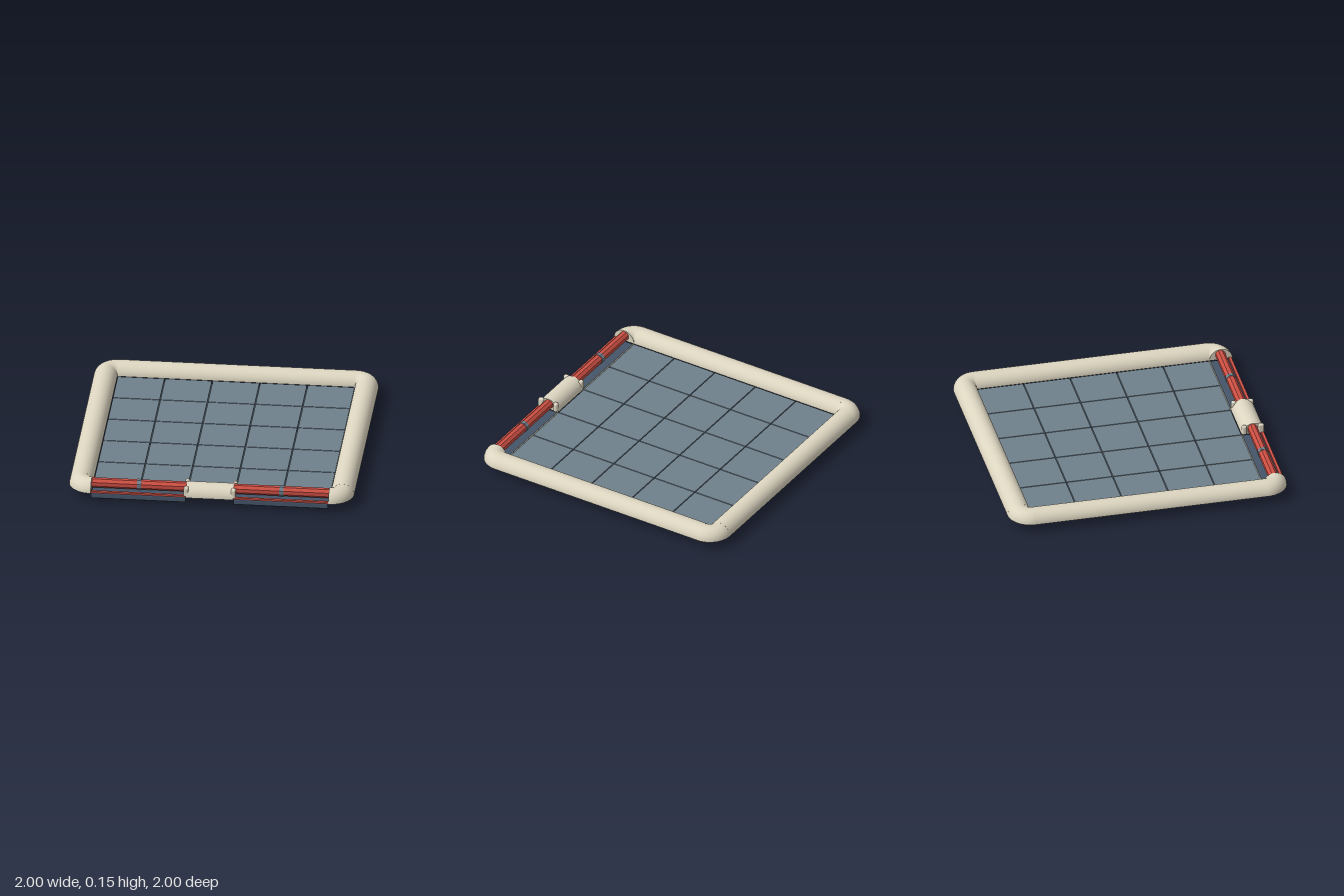
import * as THREE from 'three';
import { RoundedBoxGeometry } from 'three/addons/geometries/RoundedBoxGeometry.js';

const INNER = 0.835;          // half size of the floor
const R = 0.0825;             // radius of the half-round rim
const BASE = 0.067;           // underside of the rim
const MID = INNER + R;        // centre line of the rim

export function createModel() {
  const model = new THREE.Group();
  model.name = 'board';

  const mat = (name, color, extra = {}) => {
    const m = new THREE.MeshStandardMaterial({ color, ...extra });
    m.name = name;
    return m;
  };
  const cream = mat('cream', 0xdcd5c0, { side: THREE.DoubleSide });
  const slate = mat('slate', 0x6f818d);
  const navy = mat('navy', 0x46556a);
  const red = mat('red', 0xcd4f43);
  const redFlat = red;

  const add = (name, geo, material, x = 0, y = 0, z = 0, parent = model) => {
    const mesh = new THREE.Mesh(geo, material);
    mesh.name = name;
    mesh.position.set(x, y, z);
    parent.add(mesh);
    return mesh;
  };
  const box = (name, material, x, y, z, w, h, d, r = 0) =>
    add(name, r ? new RoundedBoxGeometry(w, h, d, 2, r) : new THREE.BoxGeometry(w, h, d), material, x, y, z);

  // Floor: five by five separate tiles
  const pitch = (INNER * 2) / 5;
  const tileGeo = new THREE.BoxGeometry(pitch - 0.007, BASE, pitch - 0.007);
  for (let i = -2; i <= 2; i++)
    for (let j = -2; j <= 2; j++)
      add('floorTile', tileGeo, slate, i * pitch, BASE / 2, j * pitch);

  // Straight half-round rim pieces with a flat underside
  const rail = (name, length, x, z, turn) => {
    const g = new THREE.Group();
    g.name = name;
    const top = new THREE.CylinderGeometry(R, R, length, 28, 1, false, 0, Math.PI);
    add(name + 'Top', top.rotateZ(Math.PI / 2), cream, 0, 0, 0, g);
    add(name + 'Underside', new THREE.PlaneGeometry(length, R * 2).rotateX(Math.PI / 2), cream, 0, 0, 0, g);
    g.position.set(x, BASE, z);
    g.rotation.y = turn;
    model.add(g);
  };
  rail('backRim', INNER * 2, 0, -MID, 0);
  rail('leftRim', INNER * 2, MID, 0, Math.PI / 2);
  rail('rightRim', INNER * 2, -MID, 0, Math.PI / 2);
  rail('frontRim', 0.333, 0, MID, 0);

  // Rim corners: the half-round turned a quarter about the inner corner
  const profile = [];
  for (let i = 0; i <= 14; i++) {
    const a = (i / 14) * Math.PI;
    profile.push(new THREE.Vector2(Math.max(0, R + R * Math.cos(a)), R * Math.sin(a)));
  }
  const under = [new THREE.Vector2(0, 0), new THREE.Vector2(R * 2, 0)];
  [[1, 1], [1, -1], [-1, -1], [-1, 1]].forEach(([sx, sz], i) => {
    const start = (i * Math.PI) / 2;
    add('rimCorner', new THREE.LatheGeometry(profile, 12, start, Math.PI / 2), cream, sx * INNER, BASE, sz * INNER);
    add('rimCornerUnderside', new THREE.LatheGeometry(under, 12, start, Math.PI / 2), cream, sx * INNER, BASE, sz * INNER);
    if (sz > 0) {
      const cap = new THREE.CircleGeometry(R, 24, 0, Math.PI).rotateY(-sx * Math.PI / 2);
      add('rimEnd', cap, cream, sx * INNER, BASE, MID);
    }
  });

  // Two front bars with their trays, clips and brackets
  const bar = (length, r) => {
    const geo = new THREE.CylinderGeometry(r, r, length, 8, 1, false, Math.PI / 8);
    return geo.rotateZ(Math.PI / 2).toNonIndexed();
  };
  for (const s of [-1, 1]) {
    box('tray', navy, s * 0.5, 0.048, 0.918, 0.666, 0.04, 0.154, 0.008);
    box('trayFrontStrip', red, s * 0.5, 0.073, 0.98, 0.664, 0.014, 0.02);
    box('trayBackStrip', cream, s * 0.5, 0.068, 0.835, 0.664, 0.006, 0.006);

    const rod = bar(0.666, 0.0355);
    rod.computeVertexNormals();
    add('frontBar', rod, redFlat, s * 0.5, 0.112, 0.911);

    const clip = bar(0.03, 0.039);
    clip.computeVertexNormals();
    add('barClip', clip, slate, s * 0.5, 0.112, 0.911);

    // Small brackets on either side of the bar's inner end
    box('frontBracket', cream, s * 0.166, 0.105, 0.972, 0.034, 0.07, 0.044, 0.012);
    box('backBracket', cream, s * 0.166, 0.105, 0.853, 0.034, 0.07, 0.034, 0.012);
  }
  return model;
}
